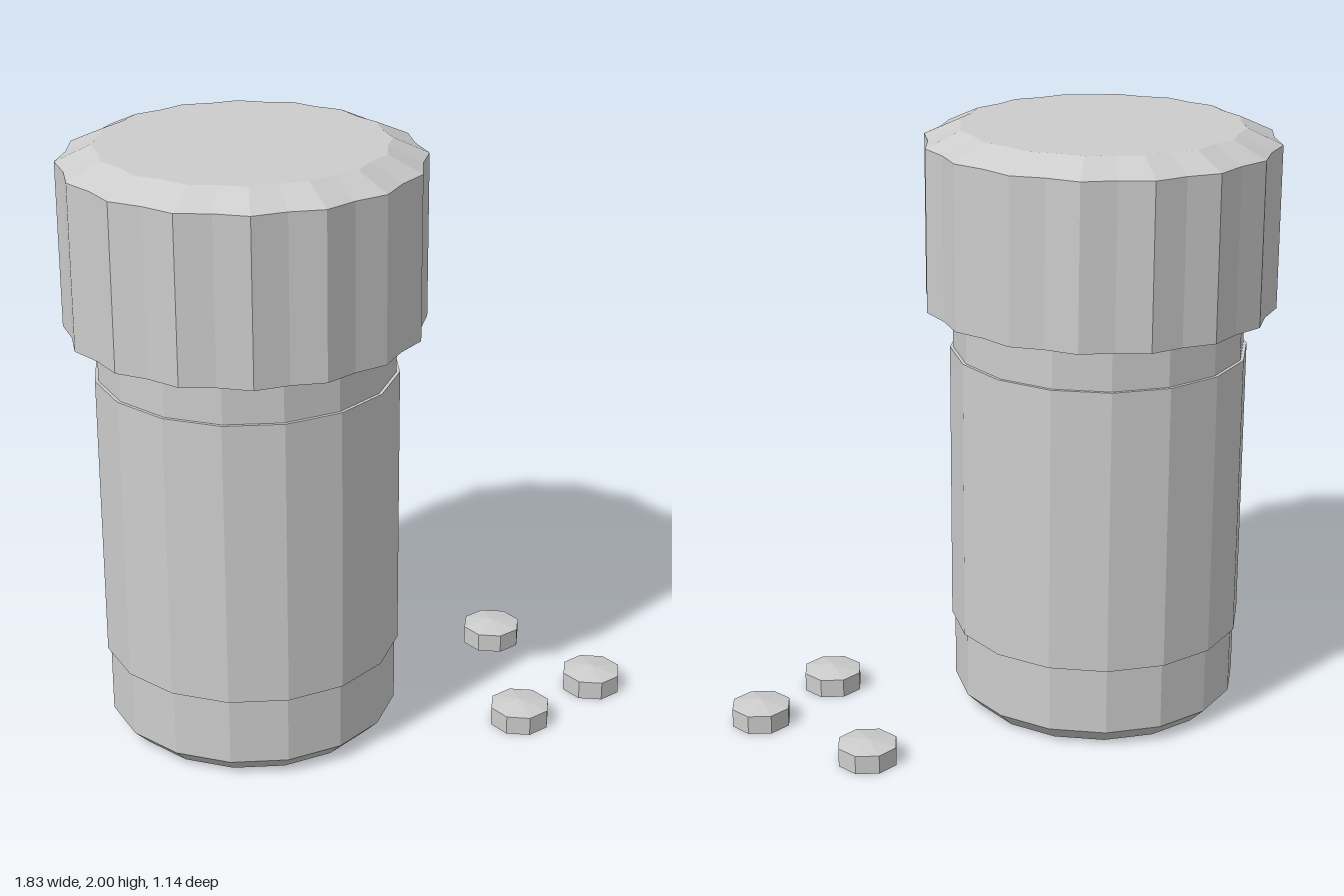
import * as THREE from 'three';

const CENTER_X = -0.347;

// Faceted solid of revolution from [radius, height] pairs, listed bottom to top
function turned(name, profile, sides, material) {
  const points = profile.map(([r, y]) => new THREE.Vector2(r, y));
  const mesh = new THREE.Mesh(new THREE.LatheGeometry(points, sides), material);
  mesh.name = name;
  return mesh;
}

export function createModel() {
  const model = new THREE.Group();
  model.name = 'pillBottleWithPills';
  const grey = new THREE.MeshStandardMaterial({ color: 0xcccccc, flatShading: true });
  grey.name = 'light grey';

  const bottle = new THREE.Group();
  bottle.name = 'bottle';
  bottle.position.x = CENTER_X;
  model.add(bottle);

  // Container with a chamfered base
  bottle.add(turned('container', [[0, 0], [0.43, 0], [0.485, 0.055], [0.485, 1.41]], 16, grey));

  // Slightly raised wrap around the container
  bottle.add(turned('label', [[0.485, 0.285], [0.496, 0.285], [0.496, 1.252], [0.485, 1.252]], 16, grey));

  // Cap with alternating ridges and grooves
  const cap = turned('cap', [[0.47, 1.405], [0.583, 1.405], [0.583, 1.948], [0.469, 2], [0, 2]], 32, grey);
  const pos = cap.geometry.attributes.position;
  const step = Math.PI / 16;
  for (let i = 0; i < pos.count; i++) {
    const x = pos.getX(i), z = pos.getZ(i);
    const index = Math.round(Math.atan2(x, z) / step);
    if (index % 2 === 0) {
      pos.setX(i, x * 0.963);
      pos.setZ(i, z * 0.963);
    }
  }
  cap.geometry.computeVertexNormals();
  bottle.add(cap);

  // Loose pills with low domed tops
  const spots = [[0.585, -0.19], [0.81, 0.22], [0.492, 0.37]];
  spots.forEach(([x, z], i) => {
    const pill = turned('pill' + (i + 1), [[0, 0], [0.102, 0], [0.102, 0.064], [0, 0.081]], 8, grey);
    pill.position.set(x, 0, z);
    model.add(pill);
  });

  return model;
}
